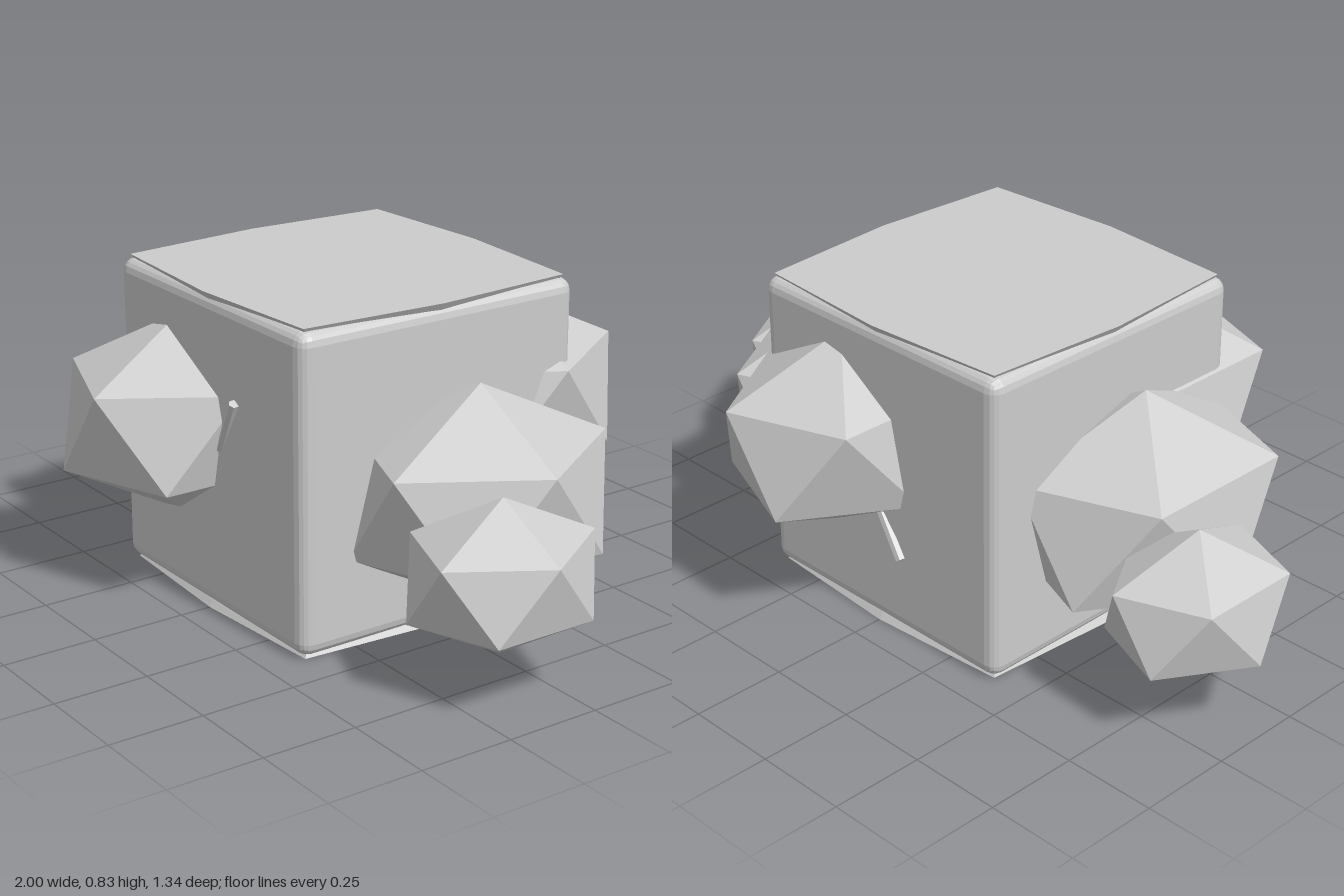
import * as THREE from 'three';
import { RoundedBoxGeometry } from 'three/addons/geometries/RoundedBoxGeometry.js';
import { ConvexGeometry } from 'three/addons/geometries/ConvexGeometry.js';

export function createModel() {
  const group = new THREE.Group();
  const grey = new THREE.MeshStandardMaterial({ color: 0xcccccc, flatShading: true });
  grey.name = 'stone grey';

  const add = (name, geometry, x = 0, y = 0, z = 0) => {
    const mesh = new THREE.Mesh(geometry, grey);
    mesh.name = name;
    mesh.position.set(x, y, z);
    group.add(mesh);
    return mesh;
  };

  // Bevelled central cube
  add('cubeBody', new RoundedBoxGeometry(0.824, 0.82, 0.824, 2, 0.035), 0, 0.417, 0);

  // Eight-cornered caps, pushed out at the middle of each edge and tapering inwards
  const cap = (name, yOuter, yInner) => {
    const points = [];
    for (let i = 0; i < 8; i++) {
      const a = (i * Math.PI) / 4;
      const r = i % 2 ? 0.39 * Math.SQRT2 : 0.416;
      const c = Math.cos(a), s = Math.sin(a);
      points.push(new THREE.Vector3(c * r, yOuter, s * r));
      points.push(new THREE.Vector3(c * r * 0.94, yInner, s * r * 0.94));
    }
    add(name, new ConvexGeometry(points));
  };
  cap('topCap', 0.834, 0.795);
  cap('bottomCap', 0, 0.04);

  // Icosahedron standing on a corner: two poles and two twisted rings of five
  const icoPoints = [new THREE.Vector3(0, 1, 0), new THREE.Vector3(0, -1, 0)];
  const h = 1 / Math.sqrt(5);
  for (let i = 0; i < 5; i++) {
    const a = (i * Math.PI * 2) / 5;
    const c = Math.cos(a) * 2 * h, s = Math.sin(a) * 2 * h;
    icoPoints.push(new THREE.Vector3(c, h, s), new THREE.Vector3(-c, -h, s));
  }
  const ico = new ConvexGeometry(icoPoints);

  // Faceted clumps: name, centre, radii
  const clumps = [
    ['leftInnerClump', [0.48, 0.355, -0.062], [0.325, 0.285, 0.382]],
    ['leftOuterClump', [0.793, 0.293, 0.118], [0.23, 0.195, 0.265]],
    ['rightInnerClump', [-0.46, 0.357, 0.055], [0.345, 0.302, 0.405]],
    ['rightOuterClump', [-0.798, 0.293, -0.125], [0.225, 0.195, 0.265]],
    ['frontClump', [-0.195, 0.458, 0.365], [0.31, 0.267, 0.354]],
    ['backClump', [0.167, 0.48, -0.37], [0.31, 0.267, 0.354]],
  ];
  for (const [name, centre, radii] of clumps) {
    add(name, ico.clone().scale(...radii), ...centre);
  }

  // Thin slivers lying against the front and back faces
  const sliver = (name, from, to) => {
    const a = new THREE.Vector3(...from), b = new THREE.Vector3(...to);
    const mid = a.clone().add(b).multiplyScalar(0.5);
    const mesh = add(name, new THREE.CylinderGeometry(0.013, 0.013, a.distanceTo(b), 6), mid.x, mid.y, mid.z);
    mesh.quaternion.setFromUnitVectors(new THREE.Vector3(0, 1, 0), b.sub(a).normalize());
  };
  sliver('frontSliver', [0.05, 0.44, 0.405], [0.135, 0.585, 0.42]);
  sliver('backSliver', [0.01, 0.35, -0.405], [-0.09, 0.22, -0.42]);

  return group;
}
